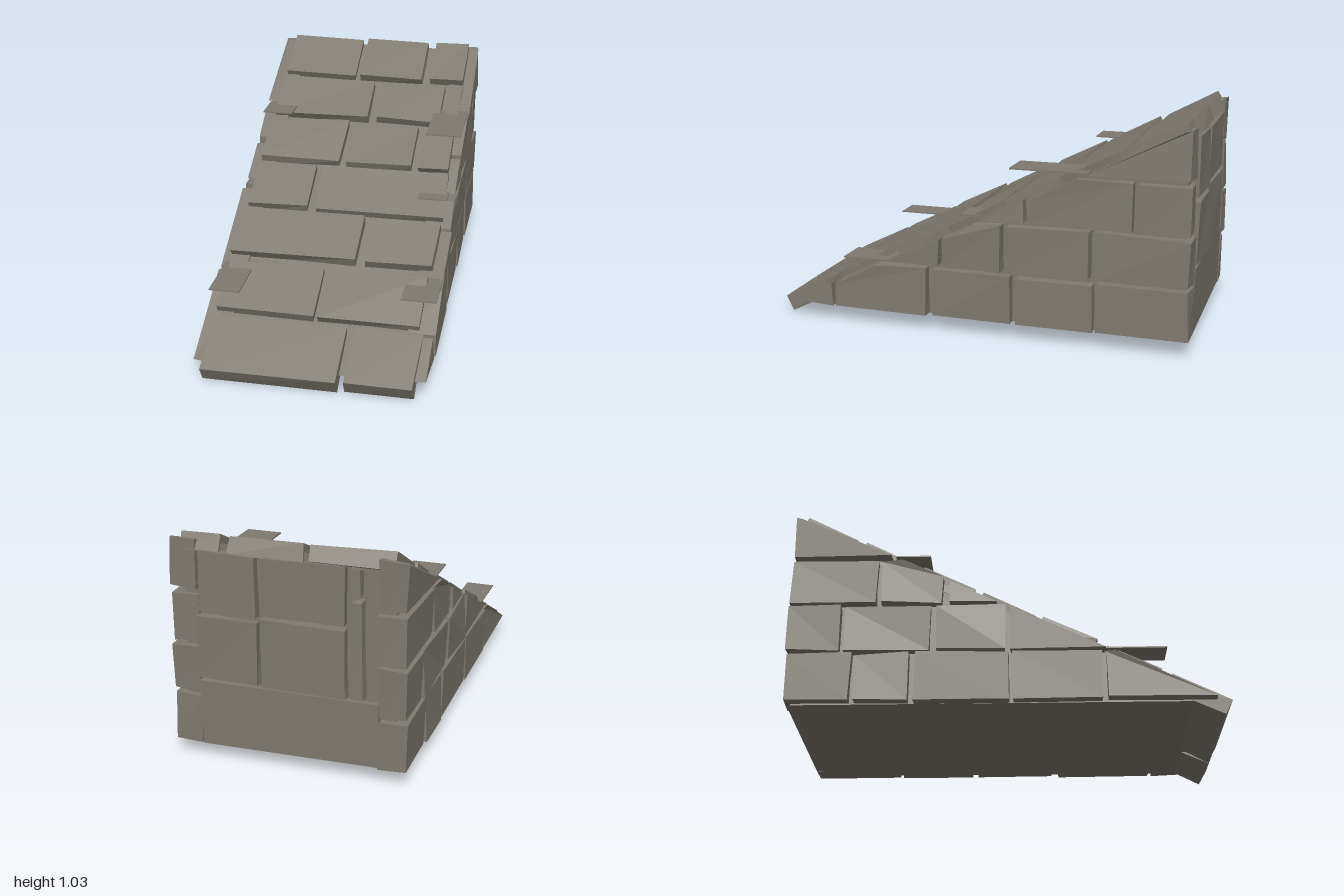
import * as THREE from 'three';

const SLOPE = 0.495, ANGLE = Math.atan(SLOPE);
const rampY = z => 0.08 + SLOPE * (0.99 - z); // top surface of the paving

export function createModel() {
  const root = new THREE.Group();
  const stone = new THREE.MeshStandardMaterial({ color: 0x7f7a70 });
  stone.name = 'grey stone';

  let seed = 7;
  const rnd = () => ((seed = (seed * 16807) % 2147483647) / 2147483647) * 2 - 1;

  // Shift each distinct corner a little, then give every face flat normals
  function roughen(geo, amount) {
    const g = geo.index ? geo.toNonIndexed() : geo;
    const p = g.attributes.position, moved = new Map();
    for (let i = 0; i < p.count; i++) {
      const v = new THREE.Vector3().fromBufferAttribute(p, i);
      const key = v.toArray().map(n => Math.round(n * 1000)).join();
      if (!moved.has(key)) moved.set(key, new THREE.Vector3(rnd(), rnd(), rnd()).multiplyScalar(amount));
      v.add(moved.get(key));
      p.setXYZ(i, v.x, v.y, v.z);
    }
    g.computeVertexNormals();
    return g;
  }

  function group(name) {
    const g = new THREE.Group();
    g.name = name;
    root.add(g);
    return g;
  }

  function add(parent, name, geo) {
    const m = new THREE.Mesh(geo, stone);
    m.name = name;
    parent.add(m);
    return m;
  }

  function box(x0, x1, y0, y1, z0, z1, rough) {
    const g = new THREE.BoxGeometry(x1 - x0, y1 - y0, z1 - z0);
    g.translate((x0 + x1) / 2, (y0 + y1) / 2, (z0 + z1) / 2);
    return roughen(g, rough);
  }

  // Prism with a (z, y) outline, spanning x0..x1
  function prism(outline, x0, x1, rough) {
    const shape = new THREE.Shape(outline.map(([z, y]) => new THREE.Vector2(-z, y)));
    const g = new THREE.ExtrudeGeometry(shape, { depth: x1 - x0, bevelEnabled: false });
    g.rotateY(Math.PI / 2).translate(x0, 0, 0);
    return roughen(g, rough);
  }

  // Cut an outline off at the ramp, a given drop below the paving
  function clip(outline, drop) {
    const out = [], over = ([z, y]) => y - rampY(z) + drop;
    outline.forEach((a, i) => {
      const b = outline[(i + 1) % outline.length], da = over(a), db = over(b);
      if (da <= 0) out.push(a);
      if (da * db < 0) {
        const t = da / (da - db);
        out.push([a[0] + (b[0] - a[0]) * t, a[1] + (b[1] - a[1]) * t]);
      }
    });
    return out;
  }

  // Solid wedge behind the stones
  add(root, 'core', prism(clip([[-0.945, 0.07], [1, 0.07], [1, 1.2], [-0.945, 1.2]], 0.045), -0.47, 0.47, 0));

  // Sloping courses of paving: [front z, back z, x spans]
  const paving = group('paving');
  const courses = [
    [0.99, 0.735, [[-0.47, 0.13], [0.17, 0.47]]],
    [0.70, 0.455, [[-0.47, -0.03], [-0.01, 0.45]]],
    [0.41, 0.175, [[-0.48, 0.11], [0.15, 0.47]]],
    [0.14, -0.10, [[-0.47, -0.18], [-0.14, 0.48]]],
    [-0.13, -0.375, [[-0.47, -0.07], [-0.04, 0.29], [0.32, 0.47]]],
    [-0.41, -0.645, [[-0.47, 0.02], [0.06, 0.38], [0.41, 0.47]]],
    [-0.68, -0.93, [[-0.47, -0.10], [-0.07, 0.26], [0.30, 0.47]]],
  ];
  const thick = 0.08;
  for (const [zf, zb, spans] of courses) {
    const zc = (zf + zb) / 2, len = (zf - zb) / Math.cos(ANGLE);
    for (const [x0, x1] of spans) {
      const m = add(paving, 'pavingSlab', box(x0, x1, -thick, 0, -len / 2, len / 2, 0.007));
      m.rotation.x = ANGLE;
      m.position.set(0, rampY(zc), zc);
    }
  }

  // Side courses, each a list of z spans cut by the ramp
  const levels = [[0.075, 0.295], [0.315, 0.53], [0.55, 0.765], [0.79, 1.0]];
  const rightSpans = [
    [[0.72, 0.95], [0.24, 0.70], [-0.16, 0.21], [-0.54, -0.19], [-0.97, -0.56]],
    [[0.18, 0.5], [-0.12, 0.16], [-0.53, -0.15], [-0.97, -0.55]],
    [[-0.23, 0.1], [-0.71, -0.26], [-0.97, -0.74]],
    [[-0.97, -0.3]],
  ];
  const leftSpans = [
    [[0.45, 0.95], [0.04, 0.43], [-0.40, 0.02], [-0.66, -0.42], [-0.97, -0.68]],
    [[0.03, 0.5], [-0.30, 0.0], [-0.72, -0.33], [-0.97, -0.74]],
    [[-0.25, 0.1], [-0.56, -0.28], [-0.97, -0.58]],
    [[-0.97, -0.3]],
  ];
  for (const [name, side, rows] of [['leftWall', 1, rightSpans], ['rightWall', -1, leftSpans]]) {
    const wall = group(name);
    rows.forEach((spans, r) => {
      const [y0, y1] = levels[r];
      for (const [z0, z1] of spans) {
        const outline = clip([[z0, y0], [z1, y0], [z1, y1], [z0, y1]], 0.035);
        if (outline.length < 3) continue;
        const a = 0.40 * side, b = 0.522 * side;
        add(wall, 'wallStone', prism(outline, Math.min(a, b), Math.max(a, b), 0.007));
      }
    });
  }

  // Back wall stones: [x0, x1, y0, y1]
  const back = group('backWall');
  const backStones = [
    [-0.40, 0.40, 0.075, 0.37],
    [0.13, 0.40, 0.39, 0.67], [0.13, 0.39, 0.69, 0.96],
    [-0.26, 0.11, 0.385, 0.69], [-0.26, 0.11, 0.71, 0.96],
    [-0.34, -0.29, 0.385, 0.82], [-0.33, -0.28, 0.84, 0.95],
  ];
  backStones.forEach(([x0, x1, y0, y1], i) =>
    add(back, 'backStone', box(x0, x1, y0, y1, i ? -0.985 : -0.972, -0.93, 0.006)));

  // Thin ledges jutting from the ramp: [x0, x1, y, z0, z1]
  const ledges = group('ledges');
  for (const [x0, x1, y, z0, z1] of [
    [-0.50, -0.36, 0.32, 0.41, 0.72], [0.36, 0.52, 0.32, 0.41, 0.65],
    [0.35, 0.49, 0.56, -0.02, 0.08],
    [-0.51, -0.36, 0.79, -0.50, -0.34], [0.35, 0.52, 0.795, -0.52, -0.16],
  ]) add(ledges, 'ledge', box(x0, x1, y - 0.003, y + 0.003, z0, z1, 0));

  return root;
}
